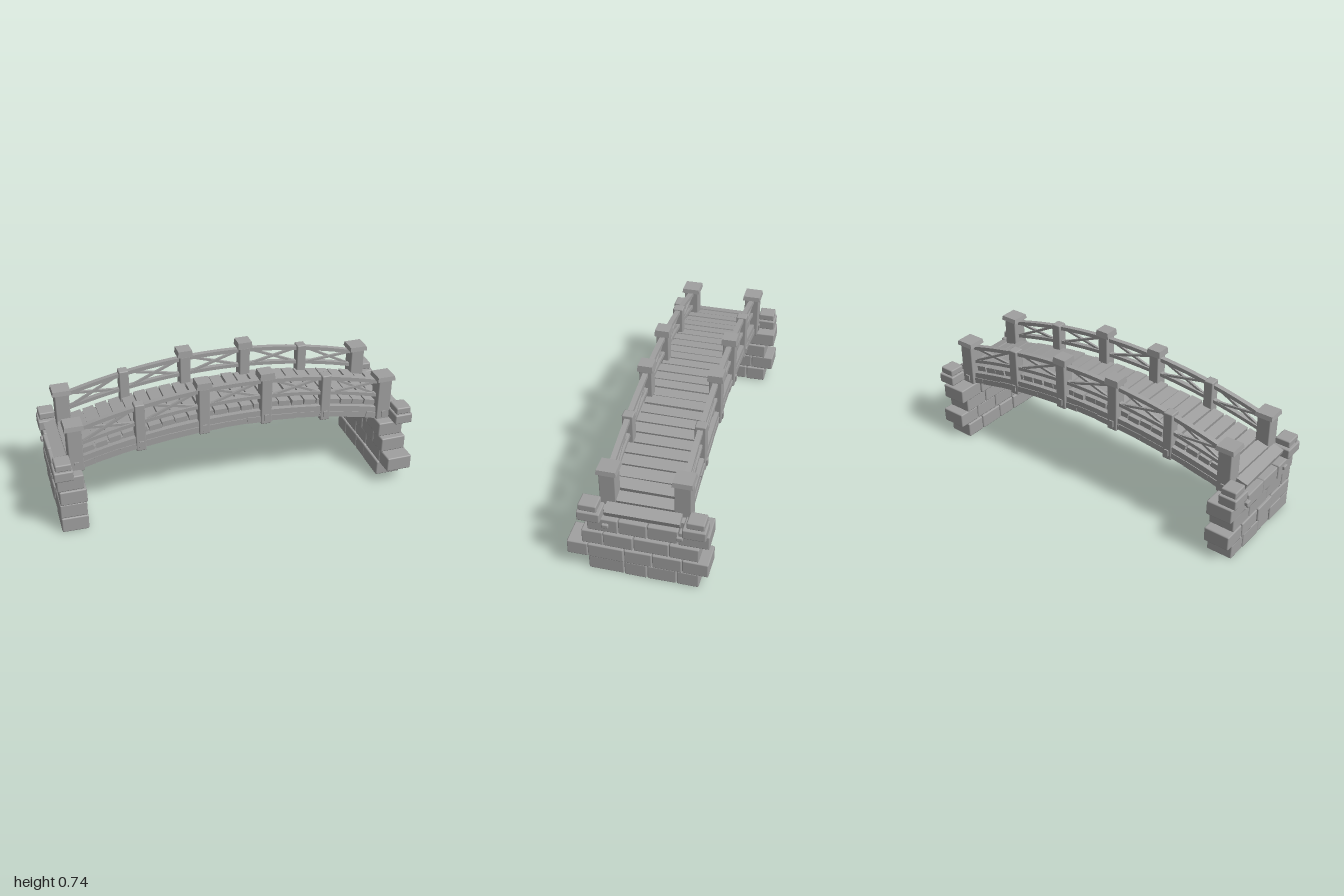
import * as THREE from 'three';
import { RoundedBoxGeometry } from 'three/addons/geometries/RoundedBoxGeometry.js';

const grey = new THREE.MeshStandardMaterial({ color: 0xa0a0a0 });
grey.name = 'stoneGrey';

const SIDES = [0.16, -0.213];          // z of the two railings
const MID = (SIDES[0] + SIDES[1]) / 2; // centre line of the deck
const deckY = x => 0.545 - 0.15 * x * x;
const upperRailY = x => 0.687 - 0.17 * x * x;
const lowerRailY = x => 0.602 - 0.16 * x * x;

let seed = 7;
const jitter = a => {
  seed = (seed * 16807) % 2147483647;
  return (seed / 2147483647 - 0.5) * 2 * a;
};

function add(group, name, geometry, x, y, z, rotZ = 0) {
  const m = new THREE.Mesh(geometry, grey);
  m.name = name;
  m.position.set(x, y, z);
  m.rotation.z = rotZ;
  group.add(m);
  return m;
}

const box = (w, h, d) => new THREE.BoxGeometry(w, h, d);
const chamfered = (w, h, d, r) => new RoundedBoxGeometry(w, h, d, 1, r);

// Curved bar following a height function, extruded across z
function arch(group, name, top, thick, half, z, width) {
  const s = new THREE.Shape(), n = 28;
  for (let i = 0; i <= n; i++) {
    const x = -half + (2 * half * i) / n;
    if (i) s.lineTo(x, top(x) - thick); else s.moveTo(x, top(x) - thick);
  }
  for (let i = n; i >= 0; i--) {
    const x = -half + (2 * half * i) / n;
    s.lineTo(x, top(x));
  }
  const g = new THREE.ExtrudeGeometry(s, { depth: width, bevelEnabled: false });
  add(group, name, g, 0, 0, z - width / 2);
}

// Square cap tapering slightly towards its top
function cap(group, x, y, z, w, h) {
  const r = w / Math.SQRT2;
  const g = new THREE.CylinderGeometry(r * 0.92, r, h, 4).toNonIndexed();
  g.rotateY(Math.PI / 4);
  g.computeVertexNormals();
  add(group, 'postCap', g, x, y + h / 2, z);
}

// Stone spanning given ranges
function stone(group, x0, x1, y0, y1, z0, z1) {
  const m = add(group, 'stone', chamfered(x1 - x0, y1 - y0 - 0.002, z1 - z0 - 0.003, 0.007),
    (x0 + x1) / 2 + jitter(0.003), (y0 + y1) / 2, (z0 + z1) / 2);
  m.rotation.set(jitter(0.008), jitter(0.02), jitter(0.012));
}

function abutment(side) {
  const g = new THREE.Group();
  g.name = side > 0 ? 'leftAbutment' : 'rightAbutment';
  const rows = side > 0
    ? [[0.257, 0.07, -0.047, -0.198, -0.313],
       [0.365, 0.255, 0.068, -0.075, -0.227, -0.362],
       [0.287, 0.175, 0.02, -0.16, -0.312],
       [0.257, 0.098, -0.048, -0.203, -0.36]]
    : [[0.257, 0.07, -0.047, -0.198, -0.313],
       [0.255, 0.068, -0.075, -0.227, -0.36],
       [0.262, 0.175, 0.02, -0.16, -0.312],
       [0.257, 0.098, -0.048, -0.203, -0.36]];
  const place = (a, b, ...rest) => side > 0 ? stone(g, a, b, ...rest) : stone(g, -b, -a, ...rest);
  const outer = [0.97, 0.975, 0.968, side > 0 ? 0.957 : 0.978];
  const y = [0.002, 0.09, 0.175, 0.26, 0.345];
  rows.forEach((cuts, r) => {
    for (let i = 0; i < cuts.length - 1; i++)
      place(outer[r] - 0.143, outer[r], y[r], y[r + 1], cuts[i + 1], cuts[i]);
  });
  // Wing stones flanking the deck ends
  place(0.893, 0.994, 0.345, 0.403, 0.175, 0.295);
  place(0.893, 0.994, 0.345, 0.403, -0.35, -0.23);
  place(0.9, 0.985, 0.403, 0.444, 0.19, 0.287);
  place(0.9, 0.985, 0.403, 0.444, -0.342, -0.25);
  // Beam ends showing through the stonework
  for (const z of SIDES)
    add(g, 'beamEnd', chamfered(0.03, 0.024, 0.035, 0.006), side * outer[3], 0.308, z);
  return g;
}

function deck() {
  const g = new THREE.Group();
  g.name = 'deck';
  const n = 27, pitch = 1.94 / n;
  for (let i = 0; i < n; i++) {
    const x = -0.97 + pitch * (i + 0.5);
    const m = add(g, 'plank', box(pitch - 0.008 + jitter(0.003), 0.03, 0.372 + jitter(0.007)),
      x, deckY(x) - 0.015 + jitter(0.002), MID + jitter(0.003), Math.atan(-0.3 * x));
    m.rotation.y = jitter(0.008);
  }
  arch(g, 'deckUnderside', x => deckY(x) - 0.024, 0.014, 0.9, MID, 0.35);
  return g;
}

function sideBeams() {
  const g = new THREE.Group();
  g.name = 'sideBeams';
  for (const z of SIDES) {
    arch(g, 'upperBeam', x => deckY(x) - 0.032, 0.035, 0.93, z, 0.045);
    // Stepped row of short blocks below each beam
    const n = 13, pitch = 1.8 / n;
    for (let i = 0; i < n; i++) {
      const x = -0.9 + pitch * (i + 0.5);
      add(g, 'lowerBeamBlock', box(pitch + 0.002, 0.034 + jitter(0.003), 0.052 + jitter(0.004)),
        x, deckY(x) - 0.082 + jitter(0.002), z, Math.atan(-0.3 * x));
    }
  }
  return g;
}

function posts() {
  const g = new THREE.Group();
  g.name = 'posts';
  // [x, bottom, top, width along x, width along z, cap width, cap height]
  const kinds = [
    [0.86, 0.335, 0.608, 0.078, 0.084, 0.104, 0.025],
    [0.515, 0.388, 0.662, 0.054, 0.058, 0, 0],
    [0.172, 0.43, 0.737, 0.06, 0.07, 0.084, 0.036],
  ];
  for (const z of SIDES) for (const s of [-1, 1])
    for (const [x, y0, y1, wx, wz, cw, ch] of kinds) {
      const h = y1 - y0 - ch;
      add(g, 'post', chamfered(wx, h, wz, 0.006), s * x, y0 + h / 2, z);
      if (cw) cap(g, s * x, y1 - ch, z, cw, ch);
      // Peg through the foot of the post
      add(g, 'peg', box(0.024, 0.036, wz + 0.014), s * x, y0 + 0.04, z);
    }
  // Cross beams tying opposite posts together
  for (const s of [-1, 1]) for (const x of [0.172, 0.515])
    add(g, 'crossBeam', box(0.04, 0.04, SIDES[0] - SIDES[1]), s * x, deckY(x) - 0.085, MID);
  return g;
}

function railings() {
  const g = new THREE.Group();
  g.name = 'railings';
  const bays = [-0.86, -0.515, -0.172, 0.172, 0.515, 0.86];
  for (const z of SIDES) {
    arch(g, 'upperRail', x => upperRailY(x) + 0.008, 0.022, 0.86, z, 0.028);
    arch(g, 'lowerRail', lowerRailY, 0.02, 0.86, z, 0.026);
    // Crossed braces in every bay
    for (let i = 0; i < 5; i++) {
      const a = bays[i] + 0.03, b = bays[i + 1] - 0.03;
      const brace = (ya, yb, dz) => add(g, 'brace',
        box(Math.hypot(b - a, yb - ya), 0.013, 0.013),
        (a + b) / 2, (ya + yb) / 2, z + dz, Math.atan2(yb - ya, b - a));
      brace(lowerRailY(a) - 0.01, upperRailY(b) - 0.003, 0.004);
      brace(upperRailY(a) - 0.003, lowerRailY(b) - 0.01, -0.004);
    }
  }
  return g;
}

export function createModel() {
  const model = new THREE.Group();
  model.name = 'archedFootbridge';
  model.add(abutment(1), abutment(-1), deck(), sideBeams(), posts(), railings());
  return model;
}
